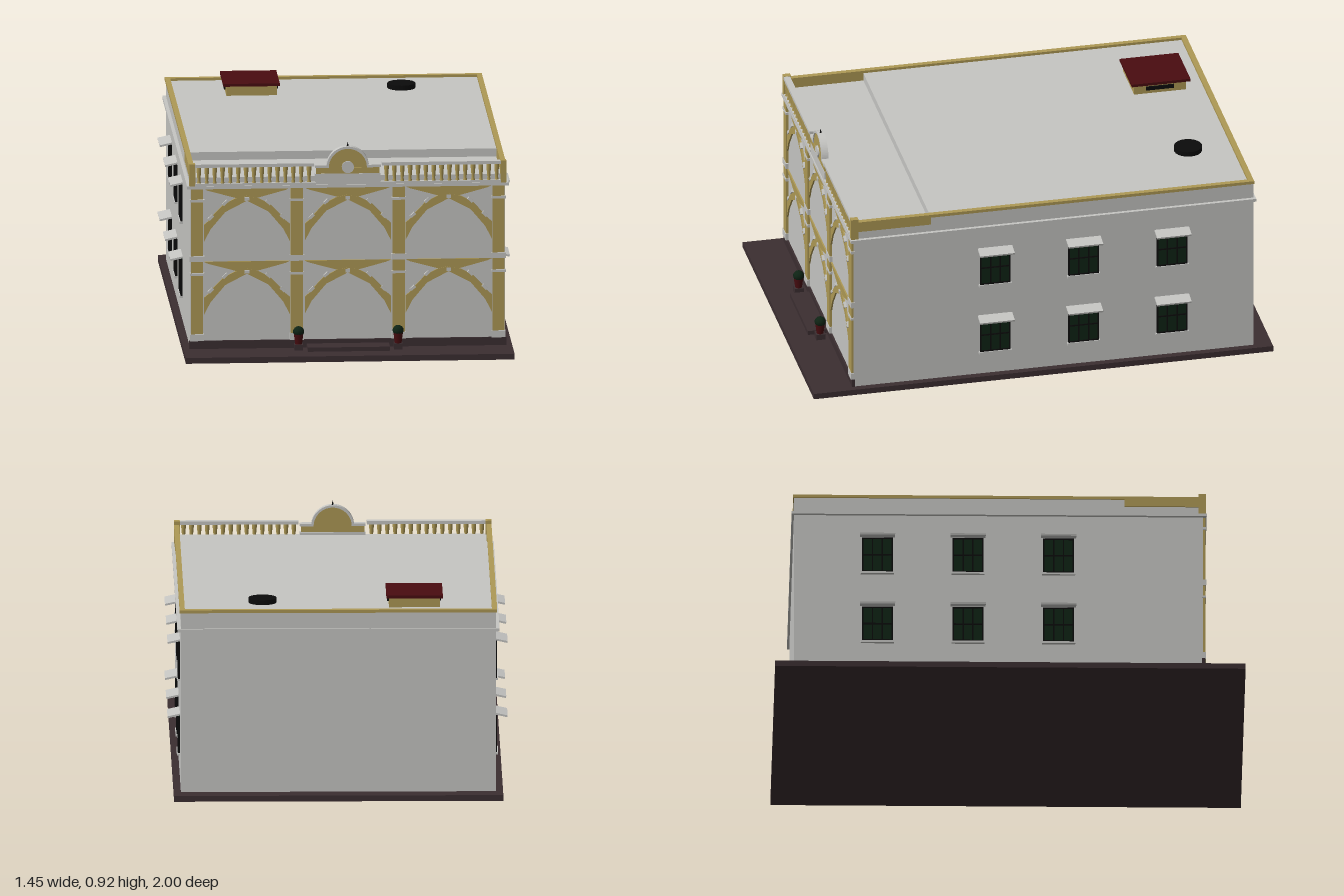
import * as THREE from 'three';

const mat = (name, color) => Object.assign(new THREE.MeshStandardMaterial({ color }), { name });

export function createModel() {
  const cream = mat('cream plaster', 0xc6c6c3);
  const tan = mat('ochre trim', 0xae9955);
  const stone = mat('dark paving', 0x3b2e31);
  const red = mat('dark red', 0x490c10);
  const green = mat('dark green', 0x0e2314);
  const black = mat('black', 0x0b0b0b);

  const root = new THREE.Group();
  root.name = 'building';

  const add = (name, geo, m, parent = root) => {
    const mesh = new THREE.Mesh(geo, m);
    mesh.name = name;
    parent.add(mesh);
    return mesh;
  };
  // Box given by its minimum and maximum corners
  const box = (name, m, x0, x1, y0, y1, z0, z1, parent) => {
    const b = add(name, new THREE.BoxGeometry(x1 - x0, y1 - y0, z1 - z0), m, parent);
    b.position.set((x0 + x1) / 2, (y0 + y1) / 2, (z0 + z1) / 2);
    return b;
  };
  // Box placed on one side, given for +x and mirrored by s
  const sideBox = (s, name, m, x0, x1, ...rest) =>
    s > 0 ? box(name, m, x0, x1, ...rest) : box(name, m, -x1, -x0, ...rest);
  const plate = (name, m, pts, z0, depth, parent) => {
    const shape = new THREE.Shape(pts.map(p => new THREE.Vector2(...p)));
    const p = add(name, new THREE.ExtrudeGeometry(shape, { depth, bevelEnabled: false }), m, parent);
    p.position.z = z0;
    return p;
  };

  // Ground slab, body and roof
  box('pavement', stone, -0.7, 0.7, 0, 0.025, -1, 1);
  box('walls', cream, -0.67, 0.67, 0.025, 0.77, -0.92, 0.82);
  box('mainRoof', cream, -0.67, 0.67, 0.77, 0.805, -0.92, 0.485);
  box('cornice', cream, -0.685, 0.685, 0.722, 0.735, -0.93, 0.835);
  box('frontPlinth', stone, -0.675, 0.675, 0.025, 0.06, 0.815, 0.828);
  box('frontStep', stone, -0.175, 0.175, 0.025, 0.043, 0.82, 0.91);
  box('backParapet', tan, -0.675, 0.675, 0.803, 0.816, -0.923, -0.9);
  for (const s of [1, -1]) {
    sideBox(s, 'sideParapetCap', tan, 0.653, 0.675, 0.803, 0.816, -0.92, 0.49);
    sideBox(s, 'frontSideParapet', tan, 0.653, 0.675, 0.77, 0.816, 0.485, 0.815);
  }

  // Pilasters with cream bases and bands
  for (const x of [-0.642, -0.217, 0.217, 0.642]) {
    const p = new THREE.Group();
    p.name = 'pilaster';
    p.position.x = x;
    root.add(p);
    box('shaft', tan, -0.026, 0.026, 0.06, 0.722, 0.815, 0.83, p);
    for (const [y0, y1, w] of [[0.06, 0.09, 0.03], [0.345, 0.356, 0.031],
      [0.405, 0.43, 0.032], [0.665, 0.676, 0.031]]) {
      box('band', cream, -w, w, y0, y1, 0.815, 0.833, p);
    }
  }

  // Arched timber braces in each bay of both floors
  const strut = [[0, 0.69], [0.05, 0.678], [0.1, 0.652], [0.145, 0.605], [0.165, 0.58],
    [0.183, 0.565], [0.183, 0.49], [0.155, 0.545], [0.092, 0.62], [0, 0.668]];
  for (const bx of [-0.43, 0, 0.43]) {
    for (const dy of [0, -0.318]) {
      const bay = new THREE.Group();
      bay.name = 'bayBraces';
      bay.position.set(bx, dy, 0);
      root.add(bay);
      plate('spandrel', tan, [[-0.185, 0.722], [-0.165, 0.713], [0, 0.668], [0.165, 0.713], [0.185, 0.722]],
        0.818, 0.008, bay);
      for (const s of [1, -1]) {
        const pts = strut.map(([x, y]) => [x * s, y]);
        plate('brace', tan, s > 0 ? pts.reverse() : pts, 0.818, 0.009, bay);
        for (const [x, y] of [[0.092, 0.66], [0.153, 0.597]]) {
          const k = box('braceKnob', cream, -0.013, 0.013, -0.006, 0.006, -0.006, 0.006, bay);
          k.position.set(x * s, y, 0.825);
          k.rotation.z = -s * 0.75;
        }
      }
      box('keyBlock', cream, -0.01, 0.01, 0.669, 0.684, 0.818, 0.831, bay);
    }
  }

  // Balustrade along the front
  for (const s of [1, -1]) {
    sideBox(s, 'cornerPost', tan, 0.65, 0.675, 0.735, 0.83, 0.8, 0.832);
    sideBox(s, 'topRail', cream, 0.145, 0.652, 0.815, 0.829, 0.805, 0.833);
    sideBox(s, 'bottomRail', cream, 0.135, 0.652, 0.735, 0.746, 0.805, 0.833);
    for (let i = 0; i < 15; i++) {
      const x = s * (0.165 + i * 0.0335);
      const g = new THREE.LatheGeometry([[0.009, 0.744], [0.006, 0.757], [0.008, 0.78],
        [0.01, 0.8], [0.01, 0.818]].map(p => new THREE.Vector2(...p)), 8);
      add('baluster', g, tan).position.set(x, 0, 0.822);
    }
  }

  // Central pediment with half-round crest
  box('crestBase', cream, -0.14, 0.14, 0.735, 0.782, 0.8, 0.83);
  box('crestBand', tan, -0.135, 0.135, 0.782, 0.808, 0.803, 0.829);
  for (const s of [1, -1]) sideBox(s, 'crestCap', cream, 0.085, 0.14, 0.808, 0.819, 0.8, 0.832);
  const half = r => {
    const sh = new THREE.Shape();
    sh.absarc(0, 0, r, 0, Math.PI, false);
    return sh;
  };
  const crest = add('crest', new THREE.ExtrudeGeometry(half(0.083),
    { depth: 0.022, bevelEnabled: false, curveSegments: 20 }), tan);
  crest.position.set(0, 0.808, 0.805);
  const rimShape = half(0.091);
  rimShape.absarc(0, 0, 0.081, Math.PI, 0, true);
  const rim = add('crestRim', new THREE.ExtrudeGeometry(rimShape,
    { depth: 0.03, bevelEnabled: false, curveSegments: 20 }), cream);
  rim.position.set(0, 0.808, 0.801);
  const disc = add('crestMedallion', new THREE.CylinderGeometry(0.026, 0.026, 0.012, 20), cream);
  disc.rotation.x = Math.PI / 2;
  disc.position.set(0, 0.81, 0.828);
  add('finial', new THREE.ConeGeometry(0.005, 0.022, 8), black).position.set(0, 0.907, 0.816);

  // Side windows
  for (const s of [1, -1]) {
    for (const z of [0.205, -0.18, -0.565]) {
      for (const y of [0.455, 0.132]) {
        const h = 0.16;
        sideBox(s, 'windowPane', green, 0.668, 0.676, y, y + h, z - 0.064, z + 0.064);
        for (const dz of [-0.063, -0.021, 0.021, 0.063])
          sideBox(s, 'windowUpright', black, 0.67, 0.679, y, y + h, z + dz - 0.003, z + dz + 0.003);
        for (const dy of [0.003, 0.08, 0.157])
          sideBox(s, 'windowBar', black, 0.67, 0.679, y + dy - 0.003, y + dy + 0.003, z - 0.064, z + 0.064);
        sideBox(s, 'windowSill', cream, 0.668, 0.683, y - 0.009, y, z - 0.071, z + 0.071);
        const hood = box('windowHood', cream, -0.028, 0.028, -0.004, 0.004, -0.075, 0.075);
        hood.position.set(s * 0.695, y + h + 0.004, z);
        hood.rotation.z = -s * 0.22;
      }
    }
  }

  // Rooftop hatch and round vent
  box('hatchBox', tan, -0.432, -0.216, 0.8, 0.847, -0.823, -0.597);
  box('hatchLid', red, -0.445, -0.205, 0.847, 0.859, -0.84, -0.585);
  for (const x of [-0.435, -0.213])
    box('hatchSlot', black, x - 0.004, x + 0.004, 0.822, 0.838, -0.77, -0.648);
  add('roofVent', new THREE.CylinderGeometry(0.06, 0.06, 0.03, 20), black).position.set(0.32, 0.811, -0.713);

  // Potted shrubs beside the step
  for (const x of [-0.212, 0.212]) {
    box('potStand', stone, x - 0.018, x + 0.018, 0.025, 0.05, 0.845, 0.885);
    add('pot', new THREE.CylinderGeometry(0.021, 0.015, 0.045, 10), red).position.set(x, 0.072, 0.865);
    const shrub = add('shrub', new THREE.SphereGeometry(0.024, 10, 8), green);
    shrub.position.set(x, 0.104, 0.865);
    shrub.scale.y = 0.95;
  }
  return root;
}
